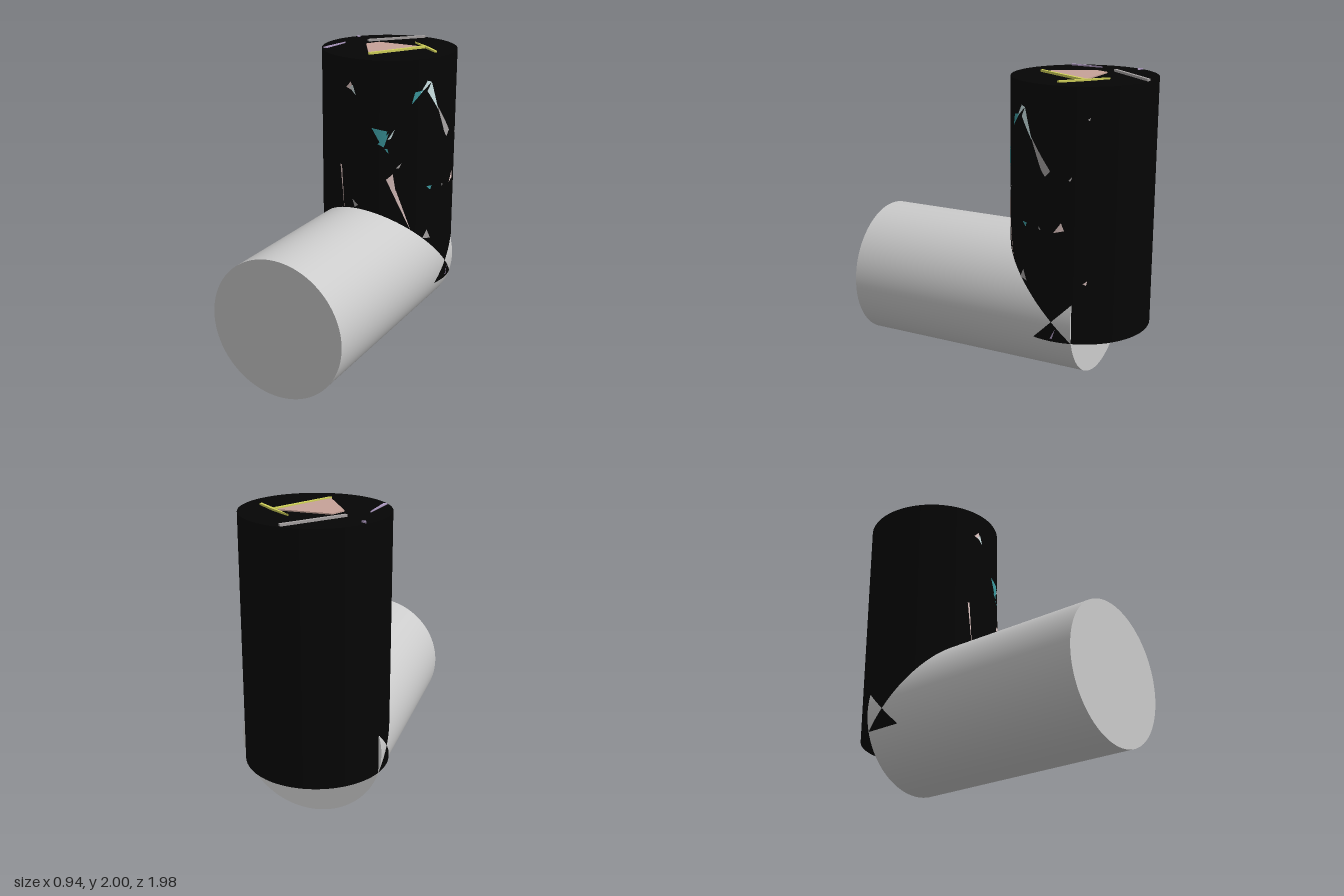
import * as THREE from 'three';

const R = 0.47, CX = -0.005, CZ = -0.52, TOP = 1.985;
const WHITE = 0xcfe6e8, TEAL = 0x3c9aa0, PINK = 0xe6cbc8, GREY = 0xa8a4a4, YELLOW = 0xd2d25a, LILAC = 0xb09cc4, ROSE = 0xc6a298;

function part(name, geometry, color) {
  const material = new THREE.MeshStandardMaterial({ color, side: THREE.DoubleSide });
  const mesh = new THREE.Mesh(geometry, material);
  mesh.name = name;
  return mesh;
}

// angle round the upright cylinder from an x on its front or a z on its left side
const byX = (x, y) => [Math.asin((x - CX) / R), y];
const byZ = (z, y) => [Math.acos((z - CZ) / R), y];

// triangular splinter laid over the curved wall, subdivided to follow it
function wallShard(a, b, c, n = 5) {
  const pos = [];
  const point = (i, j) => {
    const u = (i - j) / n, v = j / n, w = 1 - u - v;
    const t = a[0] * w + b[0] * u + c[0] * v;
    const y = a[1] * w + b[1] * u + c[1] * v;
    pos.push(CX + (R + 0.004) * Math.sin(t), y, CZ + (R + 0.004) * Math.cos(t));
  };
  for (let i = 0; i < n; i++) {
    for (let j = 0; j <= i; j++) {
      point(i, j); point(i + 1, j); point(i + 1, j + 1);
      if (j < i) { point(i, j); point(i + 1, j + 1); point(i, j + 1); }
    }
  }
  const g = new THREE.BufferGeometry();
  g.setAttribute('position', new THREE.Float32BufferAttribute(pos, 3));
  g.computeVertexNormals();
  return g;
}

// thin slab lying on the top cap, outline given as x, z
function topShard(points, height) {
  const shape = new THREE.Shape(points.map(([x, z]) => new THREE.Vector2(x, -z)));
  const g = new THREE.ExtrudeGeometry(shape, { depth: height, bevelEnabled: false });
  return g.rotateX(-Math.PI / 2).translate(0, TOP, 0);
}

export function createModel() {
  const model = new THREE.Group();

  // lying and upright cylinders meeting at a corner
  const lying = new THREE.CylinderGeometry(R, R, 1.645, 96).rotateX(Math.PI / 2);
  model.add(part('lyingCylinder', lying.translate(CX, 0.472, 0.17), 0xcccccc));
  const upright = new THREE.CylinderGeometry(R, R, TOP - 0.34, 96);
  model.add(part('uprightCylinder', upright.translate(CX, (TOP + 0.34) / 2, CZ), 0x050505));

  // splinters breaking through the wall
  const wall = [
    [PINK, byX(-0.09, 1.79), byX(-0.05, 1.83), byX(-0.03, 1.77)],
    [WHITE, byX(-0.06, 1.79), byX(-0.035, 1.81), byX(-0.012, 1.74)],
    [TEAL, byX(0.33, 1.69), byX(0.385, 1.78), byX(0.345, 1.77)],
    [WHITE, byZ(-0.23, 1.75), byZ(-0.28, 1.84), byZ(-0.31, 1.83)],
    [WHITE, byZ(-0.28, 1.77), byZ(-0.31, 1.83), byZ(-0.37, 1.63)],
    [GREY, byZ(-0.36, 1.66), byZ(-0.505, 1.46), byZ(-0.47, 1.42)],
    [GREY, byZ(-0.36, 1.66), byZ(-0.47, 1.42), byZ(-0.44, 1.46)],
    [TEAL, byX(0.10, 1.53), byX(0.17, 1.40), byX(0.2, 1.51)],
    [TEAL, byX(0.14, 1.42), byX(0.18, 1.40), byX(0.21, 1.5)],
    [WHITE, byX(0.20, 1.45), byX(0.245, 1.53), byX(0.222, 1.46)],
    [TEAL, byX(0.18, 1.39), byX(0.21, 1.355), byX(0.2, 1.39)],
    [PINK, byX(-0.142, 1.24), byX(-0.128, 1.24), byX(-0.105, 0.9)],
    [GREY, byX(0.25, 1.25), byX(0.285, 1.29), byX(0.27, 1.25)],
    [PINK, byX(0.195, 1.17), byX(0.235, 1.21), byX(0.265, 1.0)],
    [PINK, byX(0.22, 1.11), byX(0.255, 1.09), byX(0.34, 0.78)],
    [GREY, byX(-0.04, 1.01), byX(0.005, 0.97), byX(-0.02, 0.95)],
    [GREY, byZ(-0.30, 0.78), byZ(-0.27, 0.72), byZ(-0.33, 0.71)],
    [TEAL, byZ(-0.29, 1.10), byZ(-0.33, 1.10), byZ(-0.32, 1.07)],
    [GREY, byZ(-0.425, 1.10), byZ(-0.44, 1.08), byZ(-0.43, 1.07)],
    [PINK, byZ(-0.53, 1.07), byZ(-0.58, 1.14), byZ(-0.60, 1.09)],
    [GREY, byZ(-0.62, 1.41), byZ(-0.645, 1.44), byZ(-0.635, 1.41)],
    [GREY, byZ(-0.725, 1.79), byZ(-0.74, 1.80), byZ(-0.735, 1.78)],
    [PINK, byZ(-0.715, 0.75), byZ(-0.74, 0.77), byZ(-0.735, 0.74)],
    [LILAC, byZ(-0.515, 0.36), byZ(-0.55, 0.43), byZ(-0.53, 0.36)],
  ];
  const wallShards = new THREE.Group();
  wallShards.name = 'wallShards';
  for (const [color, a, b, c] of wall) wallShards.add(part('wallShard', wallShard(a, b, c), color));
  model.add(wallShards);

  // splinters breaking through the top cap
  const top = [
    [ROSE, 0.008, [[-0.14, -0.62], [0.22, -0.61], [-0.01, -0.22], [-0.19, -0.52]]],
    [YELLOW, 0.015, [[0.21, -0.61], [0.235, -0.60], [0.0, -0.21], [-0.015, -0.22]]],
    [YELLOW, 0.012, [[0.09, -0.73], [0.23, -0.625], [0.36, -0.505], [0.35, -0.49], [0.22, -0.605]]],
    [GREY, 0.015, [[0.05, -0.975], [0.065, -0.96], [-0.225, -0.63], [-0.245, -0.64]]],
    [LILAC, 0.01, [[-0.345, -0.5], [-0.365, -0.27], [-0.385, -0.26]]],
    [LILAC, 0.01, [[-0.395, -0.765], [-0.36, -0.745], [-0.38, -0.735]]],
  ];
  const topShards = new THREE.Group();
  topShards.name = 'topShards';
  for (const [color, height, points] of top) topShards.add(part('topShard', topShard(points, height), color));
  model.add(topShards);

  return model;
}
